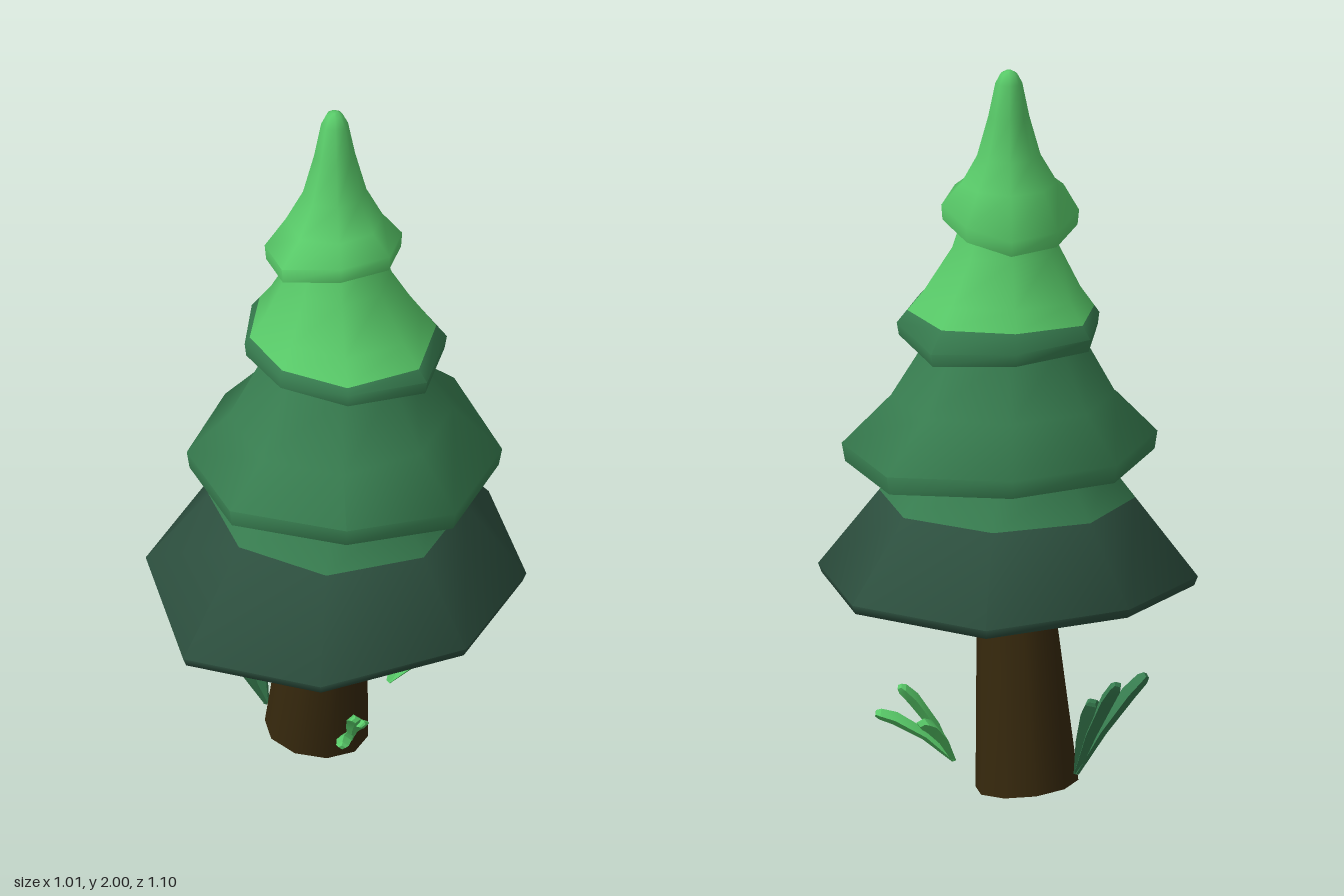
import * as THREE from 'three';
import { toCreasedNormals } from 'three/addons/utils/BufferGeometryUtils.js';

const flat = (name, color) => Object.assign(new THREE.MeshStandardMaterial({ color }), { name });
const bark = flat('bark brown', 0x36280d);
const darkGreen = flat('dark green', 0x2d503f);
const midGreen = flat('mid green', 0x377c4f);
const lightGreen = flat('light green', 0x58c968);

// Skin a stack of rings (bottom to top) and cap both ends.
// From ring number "split" upward the second material is used.
function loft(rings, crease, split = rings.length) {
  const n = rings[0].length, last = rings.length - 1;
  const pos = rings.flat(2), idx = [];
  const center = (ring) => {
    pos.push(...[0, 1, 2].map((k) => ring.reduce((s, p) => s + p[k], 0) / n));
    return pos.length / 3 - 1;
  };
  const bottom = center(rings[0]), top = center(rings[last]);
  for (let j = 0; j < n; j++) idx.push(bottom, j, (j + 1) % n);
  let cut = 0;
  for (let i = 0; i < last; i++) {
    if (i === split) cut = idx.length;
    for (let j = 0; j < n; j++) {
      const k = (j + 1) % n, a = i * n + j, b = i * n + k;
      idx.push(a, a + n, b, b, a + n, b + n);
    }
  }
  for (let j = 0; j < n; j++) idx.push(top, last * n + ((j + 1) % n), last * n + j);
  const g = new THREE.BufferGeometry();
  g.setAttribute('position', new THREE.Float32BufferAttribute(pos, 3));
  g.setIndex(idx);
  if (cut) {
    g.addGroup(0, cut, 0);
    g.addGroup(cut, idx.length - cut, 1);
  }
  return toCreasedNormals(g, crease);
}

// One foliage tier: an uneven eight-cornered rim (radius and height of each corner,
// from the back round by the right) that narrows and rounds along "profile"
// ([radius, height] pairs) around an axis leaning back toward the tip.
function makeTier({ name, mats, radii, heights, phase, lip, hollow, profile, cut }) {
  const mean = radii.reduce((s, r) => s + r) / radii.length;
  const ring = (radius, heightAt) => radii.map((r, j) => {
    const s = radius / mean, a = THREE.MathUtils.degToRad(phase + j * 45);
    const d = mean * s + (r - mean) * s * s, y = heightAt(j), up = Math.max(0, y - 1);
    return [d * Math.cos(a) - 0.015 * up, y, d * Math.sin(a) - 0.075 * up];
  });
  const stack = [
    ring(mean * 0.75, (j) => heights[j] - lip + hollow),
    ring(mean * 0.98, (j) => heights[j] - lip),
    ring(mean, (j) => heights[j]),
    ...profile.map(([r, h]) => ring(r, () => h)),
  ];
  let split;
  if (cut) {
    // Level ring where the colour changes
    split = stack.findIndex((pts) => pts.every((p) => p[1] > cut));
    const low = stack[split - 1], high = stack[split];
    stack.splice(split, 0, low.map((p, j) => {
      const t = (cut - p[1]) / (high[j][1] - p[1]);
      return p.map((v, k) => v + (high[j][k] - v) * t);
    }));
  }
  const mesh = new THREE.Mesh(loft(stack, 1.2, split), mats);
  mesh.name = name;
  return mesh;
}

const makeBottomTier = () => makeTier({
  name: 'bottomTier', mats: [darkGreen, midGreen], cut: 0.8,
  radii: [0.55, 0.53, 0.505, 0.53, 0.547, 0.537, 0.51, 0.517], phase: -92,
  heights: [0.585, 0.59, 0.59, 0.595, 0.57, 0.525, 0.585, 0.6], lip: 0.025, hollow: 0,
  profile: [[0.27, 0.9], [0.235, 0.97]],
});

const makeLowerMiddleTier = () => makeTier({
  name: 'lowerMiddleTier', mats: [midGreen, lightGreen], cut: 1.25,
  radii: [0.4, 0.47, 0.44, 0.42, 0.425, 0.43, 0.4, 0.397], phase: -100,
  heights: [0.955, 0.95, 0.945, 0.945, 0.99, 0.985, 0.97, 0.96], lip: 0.05, hollow: 0.04,
  profile: [[0.3, 1.08], [0.185, 1.28], [0.15, 1.36]],
});

const makeUpperMiddleTier = () => makeTier({
  name: 'upperMiddleTier', mats: [midGreen, lightGreen], cut: 1.325,
  radii: [0.275, 0.316, 0.296, 0.309, 0.28, 0.242, 0.245, 0.287], phase: -103,
  heights: [1.275, 1.265, 1.29, 1.295, 1.31, 1.31, 1.305, 1.29], lip: 0.035, hollow: 0.03,
  profile: [[0.215, 1.38], [0.145, 1.5], [0.115, 1.6], [0.095, 1.66]],
});

const makeTopTier = () => makeTier({
  name: 'topTier', mats: lightGreen,
  radii: [0.177, 0.167, 0.178, 0.19, 0.192, 0.22, 0.189, 0.178], phase: -101,
  heights: [1.565, 1.59, 1.62, 1.635, 1.64, 1.625, 1.6, 1.575], lip: 0.042, hollow: 0.03,
  profile: [[0.13, 1.68], [0.085, 1.76], [0.055, 1.87], [0.036, 1.965], [0.022, 1.992], [0.008, 2]],
});

// Leaning trunk with a tilted foot
function makeTrunk() {
  const ring = (c, r, y, tilt) => Array.from({ length: 10 }, (_, j) => {
    const x = r * Math.cos(j * Math.PI / 5), z = r * Math.sin(j * Math.PI / 5);
    return [c + x, y - tilt * x, c + z];
  });
  const mesh = new THREE.Mesh(loft([ring(-0.062, 0.138, 0.015, 0.11), ring(-0.02, 0.098, 0.6, 0)], 0.9), bark);
  mesh.name = 'trunk';
  return mesh;
}

// One arched, blunt blade with a flattened four-sided section
function makeLeaf(a, b, width) {
  const mid = a.clone().lerp(b, 0.5).add(new THREE.Vector3(0, 0.05, 0));
  const curve = new THREE.QuadraticBezierCurve3(a, mid, b);
  const side = b.clone().sub(a).cross(new THREE.Vector3(0, 1, 0)).normalize();
  const rings = [[0, 0.35], [0.35, 0.8], [0.75, 1], [0.94, 0.85], [1, 0.5]].map(([t, w]) => {
    const p = curve.getPoint(t), up = side.clone().cross(curve.getTangent(t));
    return [[1, 0], [0, 1], [-1, 0], [0, -1]].map(([u, v]) =>
      p.clone().addScaledVector(side, u * w * width).addScaledVector(up, v * w * width * 0.7).toArray());
  });
  return loft(rings, 0.4);
}

// Three blades fanning out from one root
function makeClump(name, material, width, base, tips) {
  const clump = new THREE.Group();
  clump.name = name;
  tips.forEach((tip, i) => {
    const leaf = new THREE.Mesh(makeLeaf(new THREE.Vector3(...base), new THREE.Vector3(...tip), width), material);
    leaf.name = `${name}Leaf${i + 1}`;
    clump.add(leaf);
  });
  return clump;
}

export function createModel() {
  const model = new THREE.Group();
  model.name = 'pineTree';
  model.add(
    makeTrunk(), makeBottomTier(), makeLowerMiddleTier(), makeUpperMiddleTier(), makeTopTier(),
    makeClump('sideGrass', midGreen, 0.03, [-0.2, 0.06, -0.1],
      [[-0.385, 0.335, -0.08], [-0.32, 0.33, -0.16], [-0.25, 0.275, -0.14]]),
    makeClump('backGrass', lightGreen, 0.026, [0.12, 0.105, -0.17],
      [[0.325, 0.235, -0.2], [0.255, 0.325, -0.24], [0.19, 0.24, -0.295]]),
    makeClump('frontGrass', lightGreen, 0.02, [0.045, 0.085, 0.085],
      [[0.09, 0.165, 0.13], [0.07, 0.215, 0.18], [0.04, 0.16, 0.23]]),
  );
  return model;
}
